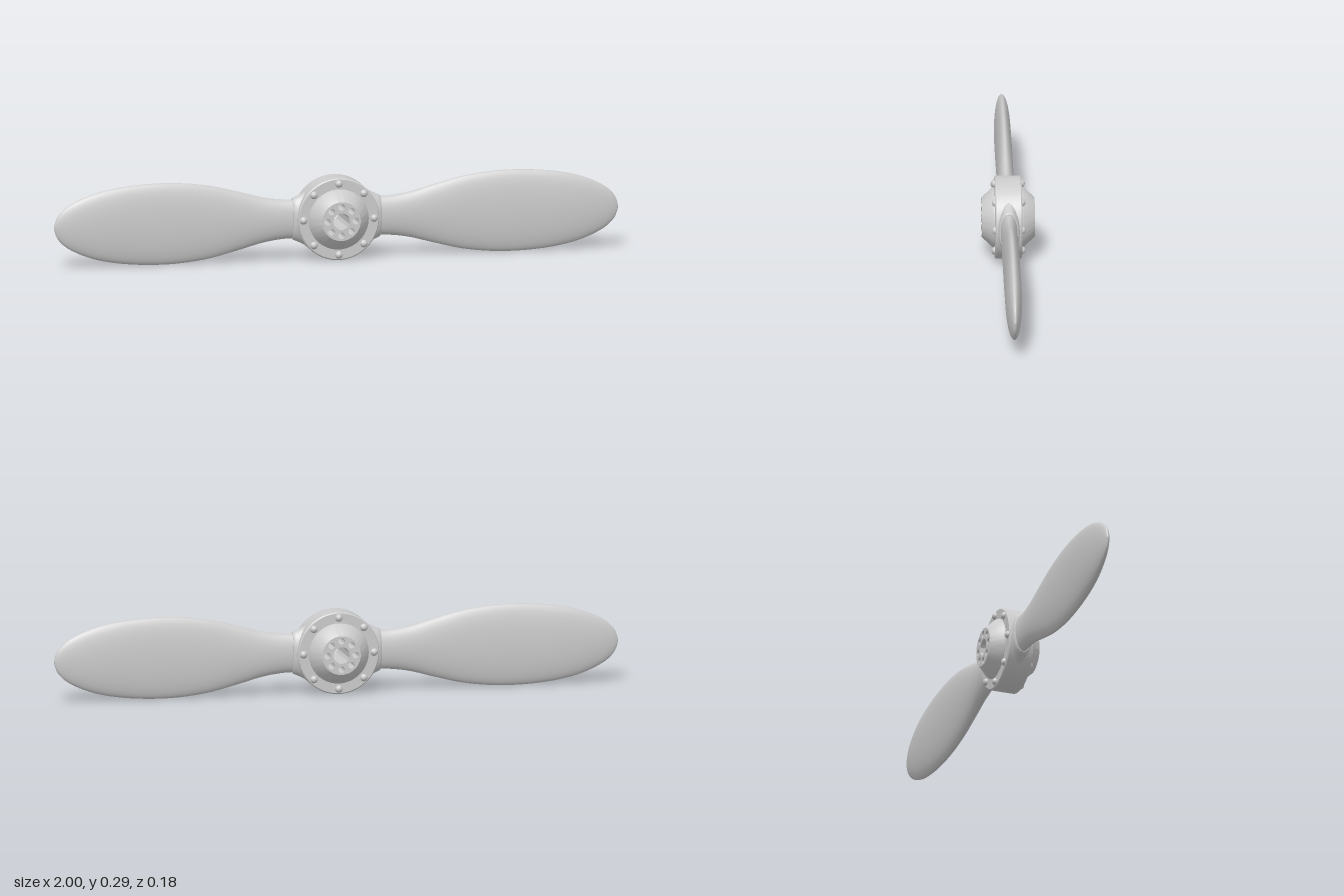
import * as THREE from 'three';
import { mergeVertices, toCreasedNormals } from 'three/addons/utils/BufferGeometryUtils.js';

const R = 0.144; // hub radius, also the height of the axis
const material = new THREE.MeshStandardMaterial({ color: 0xcccccc });

function add(parent, name, geometry) {
  const mesh = new THREE.Mesh(geometry, material);
  mesh.name = name;
  parent.add(mesh);
  return mesh;
}

// Elliptical tube along +x: section(t) gives [x, half height, half thickness]
function loft(section, steps, sides) {
  const g = new THREE.CylinderGeometry(1, 1, 1, sides, steps, true);
  g.deleteAttribute('uv');
  g.deleteAttribute('normal');
  g.rotateZ(-Math.PI / 2);
  const p = g.attributes.position;
  for (let i = 0; i < p.count; i++) {
    const [x, h, d] = section(THREE.MathUtils.clamp(p.getX(i) + 0.5, 0, 1));
    p.setXYZ(i, x, p.getY(i) * h, p.getZ(i) * d);
  }
  const merged = mergeVertices(g, 1e-5);
  merged.computeVertexNormals();
  return merged;
}

const vectors = (list) => list.map(([x, y]) => new THREE.Vector2(x, y));

export function createModel() {
  const model = new THREE.Group();
  model.name = 'propeller';
  const body = new THREE.Group();
  body.name = 'propellerBody';
  body.position.y = R;
  model.add(body);

  // Hub shell: flat rim with a truncated cone on each side
  const half = [[0.068, 0.092], [0.104, 0.054], [0.106, 0.047], [0.14, 0.047], [R, 0.043]];
  const profile = [...half.map(([r, z]) => [r, -z]), ...half.slice().reverse()];
  const shell = new THREE.LatheGeometry(vectors(profile), 64);
  shell.rotateX(Math.PI / 2);
  add(body, 'hubShell', toCreasedNormals(shell, 0.5));

  // Hub core: shaft bore and eight bolt holes right through
  const disc = new THREE.Shape().absarc(0, 0, 0.068, 0, Math.PI * 2);
  disc.holes.push(new THREE.Path().absarc(0, 0, 0.029, 0, Math.PI * 2, true));
  for (let i = 0; i < 8; i++) {
    const a = (i * Math.PI) / 4;
    disc.holes.push(new THREE.Path().absarc(0.05 * Math.cos(a), 0.05 * Math.sin(a), 0.0115, 0, Math.PI * 2, true));
  }
  const core = new THREE.ExtrudeGeometry(disc, { depth: 0.184, bevelEnabled: false, curveSegments: 32 });
  core.translate(0, 0, -0.092);
  add(body, 'hubCore', toCreasedNormals(core, 0.5));

  // Rivets on both faces of the rim
  const rivet = new THREE.SphereGeometry(0.0135, 20, 14);
  for (const z of [-0.045, 0.045]) {
    for (let i = 0; i < 8; i++) {
      const a = (i * Math.PI) / 4;
      add(body, 'rivet', rivet).position.set(0.125 * Math.cos(a), 0.125 * Math.sin(a), z);
    }
  }

  // Blade: outline swells outwards from the root and ends in a round tip
  const outline = new THREE.SplineCurve(vectors([
    [0.1, 0.07], [0.18, 0.069], [0.26, 0.08], [0.35, 0.104], [0.46, 0.13], [0.59, 0.143],
    [0.73, 0.138], [0.85, 0.117], [0.94, 0.08], [0.985, 0.041], [1, 0],
  ]));
  const blade = loft((t) => {
    const { x, y } = outline.getPoint(t);
    const s = Math.min(1, Math.max(0, (x - 0.75) / 0.25));
    return [x, Math.max(y, 0), 0.029 * Math.sqrt(1 - s * s)];
  }, 80, 48);

  // Socket around each blade root, flaring into the rim
  const collarRows = [[0.09, 0.105, 0.044], [0.125, 0.086, 0.041], [0.145, 0.077, 0.037],
    [0.153, 0.074, 0.035], [0.156, 0.071, 0.032], [0.156, 0.06, 0.02]];
  const collar = toCreasedNormals(
    loft((t) => collarRows[Math.round(t * (collarRows.length - 1))], collarRows.length - 1, 48), 0.6);

  for (const [side, turn] of [['left', 0], ['right', Math.PI]]) {
    const arm = new THREE.Group();
    arm.name = side + 'Arm';
    arm.rotation.y = turn;
    body.add(arm);
    add(arm, side + 'Blade', blade);
    add(arm, side + 'Collar', collar);
  }
  return model;
}
